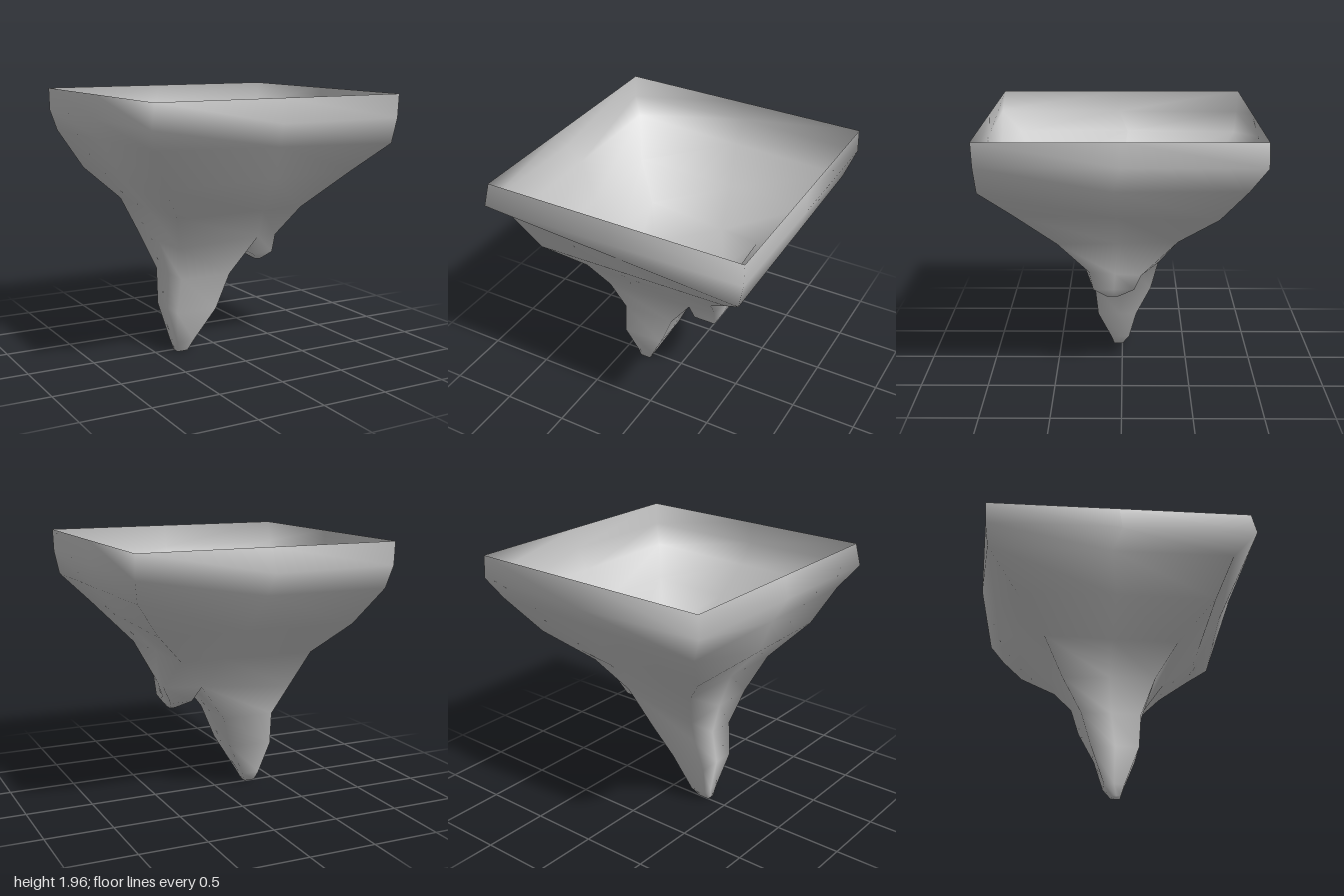
import * as THREE from 'three';
import { mergeVertices } from 'three/addons/utils/BufferGeometryUtils.js';

// Eight-point outline from four corners (front left, front right, back right,
// back left on screen), with side middles added. t places the front and back
// middles along their sides; bulge pushes the back middle outwards.
function blockRing(fl, fr, br, bl, t = 0.5, bulge = 0) {
  const mix = (a, b, k) => a.map((v, i) => v + (b[i] - v) * k);
  const back = mix(bl, br, t);
  back[2] -= bulge;
  return [fl, mix(fl, fr, t), fr, mix(fr, br, 0.5), br, back, bl, mix(bl, fl, 0.5)];
}

// Six-point outline for the two hanging points; zr is the back right corner.
function spikeRing(y, x0, x1, z0, z1, zr = z0) {
  const zm = (z0 + z1) / 2;
  return [[x0, y, z1], [x1, y, z1], [x1, y, zm], [x1, y, zr], [x0, y, z0], [x0, y, zm]];
}

// Skins rings listed from top to bottom; closes the last one if asked.
function loft(out, rings, closed) {
  for (let r = 0; r < rings.length - 1; r++) {
    const a = rings[r], b = rings[r + 1], n = a.length;
    for (let i = 0; i < n; i++) {
      const j = (i + 1) % n;
      out.push(a[i], b[i], b[j], a[i], b[j], a[j]);
    }
  }
  if (closed) {
    const last = rings[rings.length - 1], n = last.length;
    const c = [0, 1, 2].map(k => last.reduce((s, p) => s + p[k], 0) / n);
    for (let i = 0; i < n; i++) out.push(last[i], c, last[(i + 1) % n]);
  }
}

export function createModel() {
  const group = new THREE.Group();
  group.name = 'hangingRock';
  const tris = [];

  // Ring where the body divides into a long and a short point
  const split = [[-0.45, 0.86, 0.31], [0.225, 0.88, 0.29], [0.41, 0.87, 0.24], [0.45, 0.87, 0.05],
    [0.475, 0.87, -0.14], [0.225, 0.88, -0.27], [-0.45, 0.84, -0.36], [-0.45, 0.85, -0.02]];
  const ridge = [0.225, 0.87, 0.01];

  // Open-topped body
  loft(tris, [
    blockRing([-0.95, 1.96, 0.97], [0.97, 1.96, 0.97], [0.97, 1.96, -0.95], [-0.95, 1.96, -0.95]),
    blockRing([-0.98, 1.79, 1], [0.965, 1.79, 0.965], [0.975, 1.79, -0.955], [-0.95, 1.79, -0.94], 0.5, 0.05),
    blockRing([-0.89, 1.64, 0.84], [0.93, 1.61, 0.95], [0.92, 1.62, -0.84], [-0.9, 1.63, -0.92]),
    blockRing([-0.75, 1.36, 0.72], [0.74, 1.4, 0.74], [0.71, 1.36, -0.67], [-0.77, 1.35, -0.71], 0.57),
    blockRing([-0.54, 1.11, 0.47], [0.49, 1.11, 0.46], [0.44, 1.11, -0.4], [-0.55, 1.12, -0.5], 0.68),
    split,
  ], false);

  // Long point
  loft(tris, [
    [split[0], split[1], ridge, split[5], split[6], split[7]],
    spikeRing(0.6, -0.38, 0.025, -0.22, 0.21),
    spikeRing(0.34, -0.405, -0.08, -0.15, 0.19, -0.11),
    spikeRing(0.08, -0.355, -0.22, -0.055, 0.09),
    spikeRing(0, -0.345, -0.26, 0, 0.065),
  ], true);

  // Short point
  loft(tris, [
    [split[1], split[2], split[3], split[4], split[5], ridge],
    spikeRing(0.73, 0.23, 0.4, -0.09, 0.21),
    spikeRing(0.66, 0.32, 0.36, 0.03, 0.11),
  ], true);

  let geometry = new THREE.BufferGeometry();
  geometry.setAttribute('position', new THREE.Float32BufferAttribute(tris.flat(), 3));
  geometry = mergeVertices(geometry, 1e-4);
  geometry.computeVertexNormals();

  const rock = new THREE.Mesh(geometry,
    new THREE.MeshStandardMaterial({ color: 0xcccccc, side: THREE.DoubleSide }));
  rock.name = 'rockShell';
  group.add(rock);
  return group;
}
